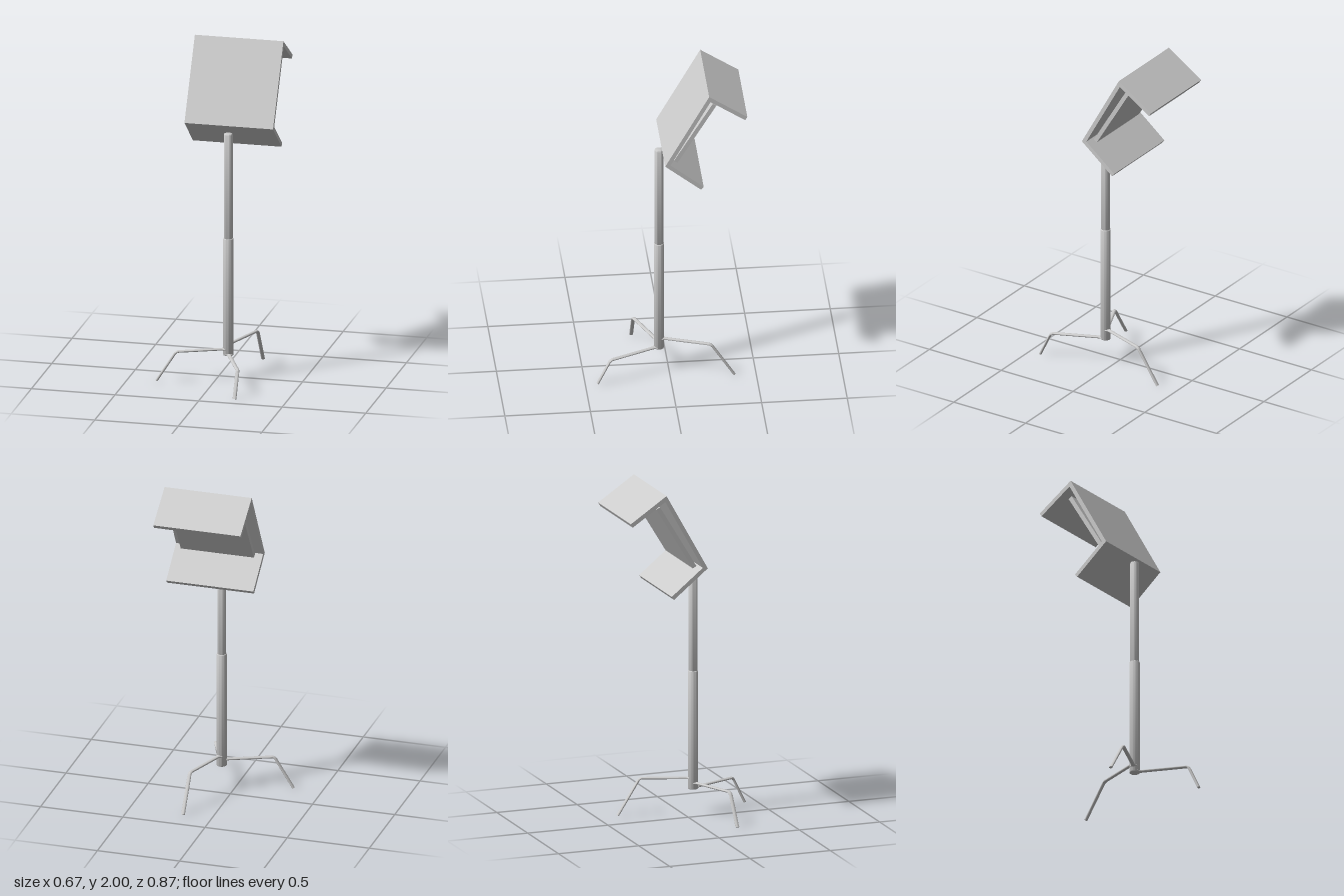
import * as THREE from 'three';
import { toCreasedNormals } from 'three/addons/utils/BufferGeometryUtils.js';

const CX = 0.07, CZ = 0.057; // column axis

const material = new THREE.MeshStandardMaterial({ color: 0xcccccc });

function add(parent, name, geometry) {
  const mesh = new THREE.Mesh(geometry, material);
  mesh.name = name;
  parent.add(mesh);
  return mesh;
}

// Flattened oval bar swept from hub over a rounded knee to the foot, flared where it meets the column
function legGeometry(hub, knee, foot) {
  const toward = (a, b, d) => a.clone().lerp(b, d / a.distanceTo(b));
  const bend = new THREE.QuadraticBezierCurve3(toward(knee, hub, 0.018), knee, toward(knee, foot, 0.018));
  const flare = [[0, 0.022], [0.024, 0.022], [0.029, 0.0165], [0.035, 0.013], [0.043, 0.0115]];
  const path = [...flare.map(([d]) => toward(hub, knee, d)), ...bend.getPoints(6), foot];
  const sides = 14, barWidth = 0.0115, halfThick = 0.0075;
  const up = new THREE.Vector3(0, 1, 0);
  const positions = [], indices = [];
  const ring = (i, scale) => {
    const t = path[Math.min(i + 1, path.length - 1)].clone().sub(path[Math.max(i - 1, 0)]).normalize();
    const side = up.clone().cross(t).normalize();
    const normal = t.clone().cross(side);
    const width = i < flare.length ? flare[i][1] : barWidth;
    for (let k = 0; k < sides; k++) {
      const a = (k / sides) * Math.PI * 2;
      const v = path[i].clone()
        .addScaledVector(side, Math.cos(a) * width * scale)
        .addScaledVector(normal, Math.sin(a) * halfThick * scale);
      positions.push(v.x, Math.max(v.y, 0), v.z);
    }
  };
  // Rings collapsed to a point close both ends
  ring(0, 0);
  path.forEach((_, i) => ring(i, 1));
  ring(path.length - 1, 0);
  for (let r = 0; r < path.length + 1; r++) {
    for (let k = 0; k < sides; k++) {
      const a = r * sides + k, b = r * sides + (k + 1) % sides;
      indices.push(a, b, a + sides, b, b + sides, a + sides);
    }
  }
  const g = new THREE.BufferGeometry();
  g.setAttribute('position', new THREE.Float32BufferAttribute(positions, 3));
  g.setIndex(indices);
  return toCreasedNormals(g, 0.8);
}

export function createModel() {
  const model = new THREE.Group();
  model.name = 'lampOnStand';

  // Telescopic column, each section with softened rims
  const section = (name, r, y0, y1, b) => {
    const profile = [[0, y0], [r - b, y0], [r - b * 0.3, y0 + b * 0.3], [r, y0 + b],
      [r, y1 - b], [r - b * 0.3, y1 - b * 0.3], [r - b, y1], [0, y1]]
      .map(([x, y]) => new THREE.Vector2(x, y));
    const g = toCreasedNormals(new THREE.LatheGeometry(profile, 32), 0.9);
    add(model, name, g).position.set(CX, 0, CZ);
  };
  section('lowerColumn', 0.03, 0.15, 0.862, 0.004);
  section('upperColumn', 0.026, 0.8, 1.5, 0.007);

  // Three bent legs at staggered heights
  const legs = [
    ['rightLeg', 0.187, [-0.212, 0.18], [-0.329, 0.18]],
    ['frontLeg', 0.157, [0.197, 0.352], [0.197, 0.427]],
    ['backLeg', 0.215, [0.173, -0.237], [0.173, -0.373]],
  ];
  for (const [name, y, knee, foot] of legs) {
    add(model, name, legGeometry(
      new THREE.Vector3(CX, y, CZ),
      new THREE.Vector3(knee[0], y, knee[1]),
      new THREE.Vector3(foot[0], 0.004, foot[1])));
  }

  // Folded housing: sloping panel with a flap at the top and the bottom, drawn as (z, y)
  const outline = [
    [0.047, 1.541], [-0.21, 2.0], [-0.433, 1.851], [-0.42, 1.83],
    [-0.218, 1.965], [0.016, 1.547], [-0.178, 1.39], [-0.163, 1.371],
  ].map(([z, y]) => new THREE.Vector2(z, y));
  const housing = new THREE.ExtrudeGeometry(new THREE.Shape(outline), { depth: 0.53, bevelEnabled: false });
  housing.rotateY(-Math.PI / 2).translate(CX + 0.265, 0, 0);
  add(model, 'housing', housing);

  // Flat plate held parallel to the sloping panel
  const plate = add(model, 'innerPlate', new THREE.BoxGeometry(0.445, 0.438, 0.025));
  plate.position.set(CX, 1.731, -0.132);
  plate.rotation.x = -Math.atan2(0.227, 0.375);

  return model;
}
